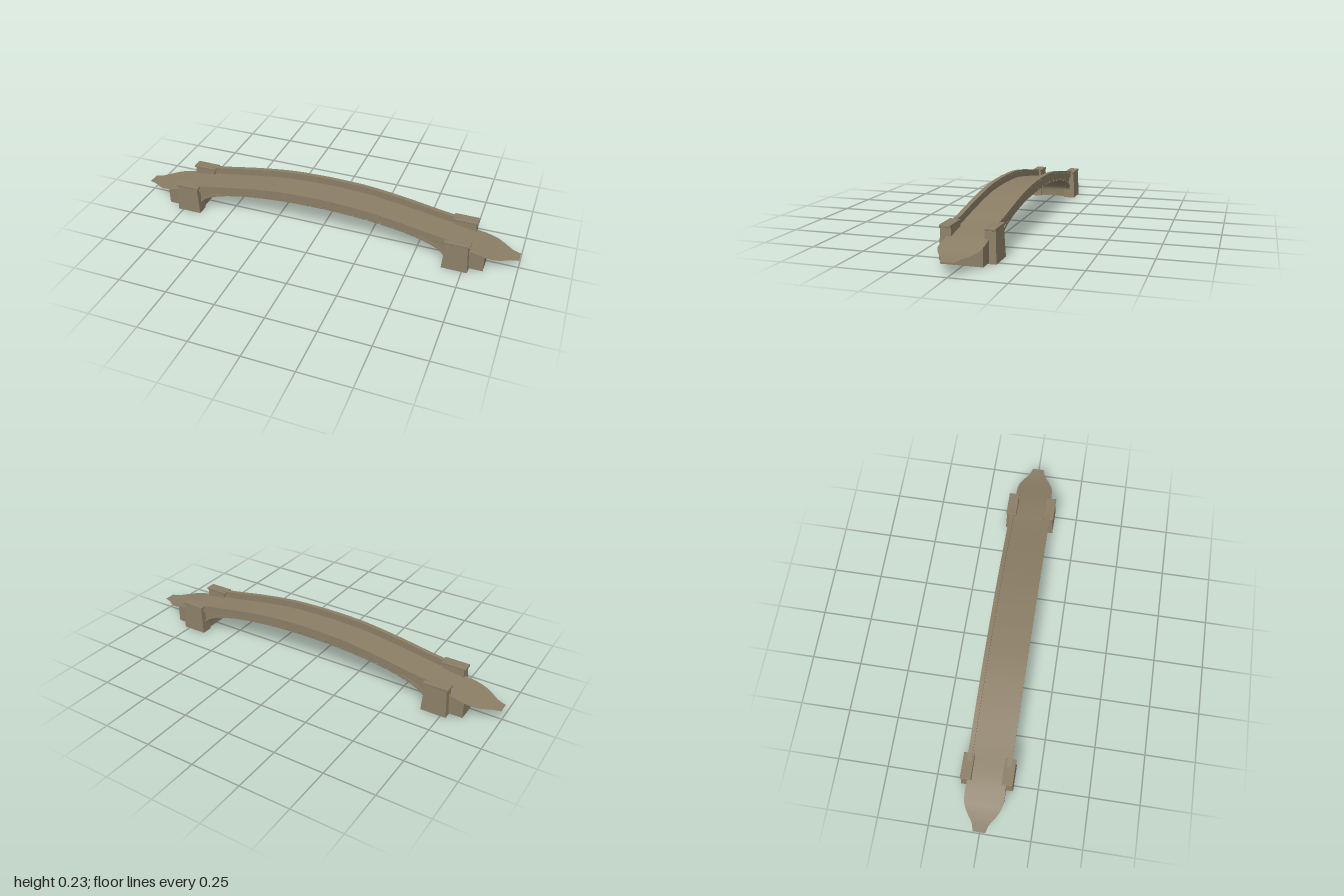
import * as THREE from 'three';
import { toCreasedNormals } from 'three/addons/utils/BufferGeometryUtils.js';
import { RoundedBoxGeometry } from 'three/addons/geometries/RoundedBoxGeometry.js';

const stone = new THREE.MeshStandardMaterial({ color: 0x8b7e66 });
stone.name = 'stone';
stone.side = THREE.DoubleSide;

// Smooth function y(|x|) through a few points
function smoothCurve(points) {
  const samples = new THREE.SplineCurve(points.map(([x, y]) => new THREE.Vector2(x, y))).getPoints(150);
  return (x) => {
    const ax = Math.abs(x);
    let i = samples.findIndex((p) => p.x >= ax);
    if (i < 0) i = samples.length - 1;
    if (i === 0) return samples[0].y;
    const a = samples[i - 1], b = samples[i];
    return a.y + (b.y - a.y) * Math.min(1, (ax - a.x) / (b.x - a.x));
  };
}

const deckY = smoothCurve([[0, 0.193], [0.2, 0.186], [0.4, 0.161], [0.6, 0.128], [0.7, 0.115],
  [0.77, 0.104], [0.85, 0.086], [0.9, 0.074], [0.95, 0.066], [1, 0.062]]);
const wallTop = smoothCurve([[0, 0.23], [0.2, 0.223], [0.4, 0.198], [0.6, 0.164], [0.7, 0.152], [0.78, 0.146]]);
const rampWidth = smoothCurve([[0.8, 0.096], [0.84, 0.096], [0.88, 0.09], [0.92, 0.07], [0.96, 0.043], [1, 0.03]]);

// Point on the elliptical arch; grow moves it outward
const archPoint = (t, grow = 0) =>
  new THREE.Vector2((0.655 + grow) * Math.cos(t), 0.04 + (0.135 + grow) * Math.sin(t));

// Side outline extruded from z0 to z1
function slab(points, z0, z1) {
  const g = new THREE.ExtrudeGeometry(new THREE.Shape(points), { depth: z1 - z0, bevelEnabled: false });
  g.translate(0, 0, z0);
  return toCreasedNormals(g, Math.PI / 6);
}

// Curved strip between two heights
function strip(top, bottom, half, z0, z1, steps = 60) {
  const upper = [], lower = [];
  for (let i = 0; i <= steps; i++) {
    const x = -half + (2 * half * i) / steps;
    lower.push(new THREE.Vector2(x, bottom(x)));
    upper.unshift(new THREE.Vector2(x, top(x)));
  }
  return slab([...lower, ...upper], z0, z1);
}

function add(parent, name, geometry) {
  const m = new THREE.Mesh(geometry, stone);
  m.name = name;
  parent.add(m);
  return m;
}

export function createModel() {
  const model = new THREE.Group();
  model.name = 'archBridge';

  // Deck, spandrels and abutments in one body
  const outline = [];
  for (let i = 0; i <= 60; i++) {
    const x = -0.845 + (1.69 * i) / 60;
    outline.push(new THREE.Vector2(x, deckY(x)));
  }
  outline.push(new THREE.Vector2(0.845, 0.005), new THREE.Vector2(0.655, 0.005));
  for (let i = 0; i <= 48; i++) outline.push(archPoint((Math.PI * i) / 48));
  outline.push(new THREE.Vector2(-0.655, 0.005), new THREE.Vector2(-0.845, 0.005));
  add(model, 'bridgeBody', slab(outline, -0.095, 0.095));

  for (const side of [1, -1]) {
    const sideGroup = new THREE.Group();
    sideGroup.name = side > 0 ? 'frontSide' : 'backSide';
    if (side < 0) sideGroup.rotation.y = Math.PI;
    model.add(sideGroup);

    // Parapet wall, base band and coping
    add(sideGroup, 'parapetWall', strip((x) => wallTop(x) - 0.004, (x) => deckY(x) - 0.004, 0.765, 0.087, 0.105));
    add(sideGroup, 'parapetCoping', strip(wallTop, (x) => wallTop(x) - 0.008, 0.765, 0.085, 0.107));

    // Small blocks under the coping
    const dentils = new THREE.Group();
    dentils.name = 'dentils';
    sideGroup.add(dentils);
    for (let i = -31; i <= 31; i++) {
      const x = i * 0.0205;
      const d = add(dentils, 'dentil', new THREE.BoxGeometry(0.01, 0.005, 0.0205));
      d.position.set(x, wallTop(x) - 0.0105, 0.096);
      d.rotation.z = Math.atan2(wallTop(x + 0.01) - wallTop(x - 0.01), 0.02);
    }

    // Arch ring stones with narrow joints
    const ring = new THREE.Group();
    ring.name = 'archRing';
    sideGroup.add(ring);
    const count = 27;
    for (let i = 0; i < count; i++) {
      const t0 = (Math.PI * (i + 0.04)) / count, t1 = (Math.PI * (i + 0.96)) / count;
      const tm = (t0 + t1) / 2;
      add(ring, 'archStone', slab([
        archPoint(t0, -0.002), archPoint(t0, 0.014), archPoint(tm, 0.014),
        archPoint(t1, 0.014), archPoint(t1, -0.002), archPoint(tm, -0.002),
      ], 0.08, 0.102));
    }

    // Tapered end pillars with caps
    for (const end of [1, -1]) {
      const pillar = new THREE.Group();
      pillar.name = 'endPillar';
      pillar.position.set(end * 0.713, 0, 0.0995);
      sideGroup.add(pillar);
      const g = new THREE.BoxGeometry(0.128, 0.142, 0.059);
      const p = g.attributes.position;
      for (let i = 0; i < p.count; i++) {
        if (p.getY(i) > 0) p.setXYZ(i, p.getX(i) * 0.84, p.getY(i), p.getZ(i) * 0.8);
      }
      g.computeVertexNormals();
      add(pillar, 'pillarShaft', g).position.y = 0.071;
      add(pillar, 'pillarCap', new RoundedBoxGeometry(0.126, 0.012, 0.052, 2, 0.002)).position.set(0, 0.147, 0.001);
    }
  }

  // Thin flared ramps running down to the ground
  for (const end of [1, -1]) {
    const g = new THREE.PlaneGeometry(0.2, 2, 24, 6);
    g.rotateX(-Math.PI / 2);
    const p = g.attributes.position;
    for (let i = 0; i < p.count; i++) {
      const x = p.getX(i) + 0.9;
      p.setXYZ(i, x, deckY(x) + 0.001, p.getZ(i) * rampWidth(x));
    }
    g.computeVertexNormals();
    add(model, 'approachRamp', g).rotation.y = end > 0 ? 0 : Math.PI;
  }

  return model;
}
